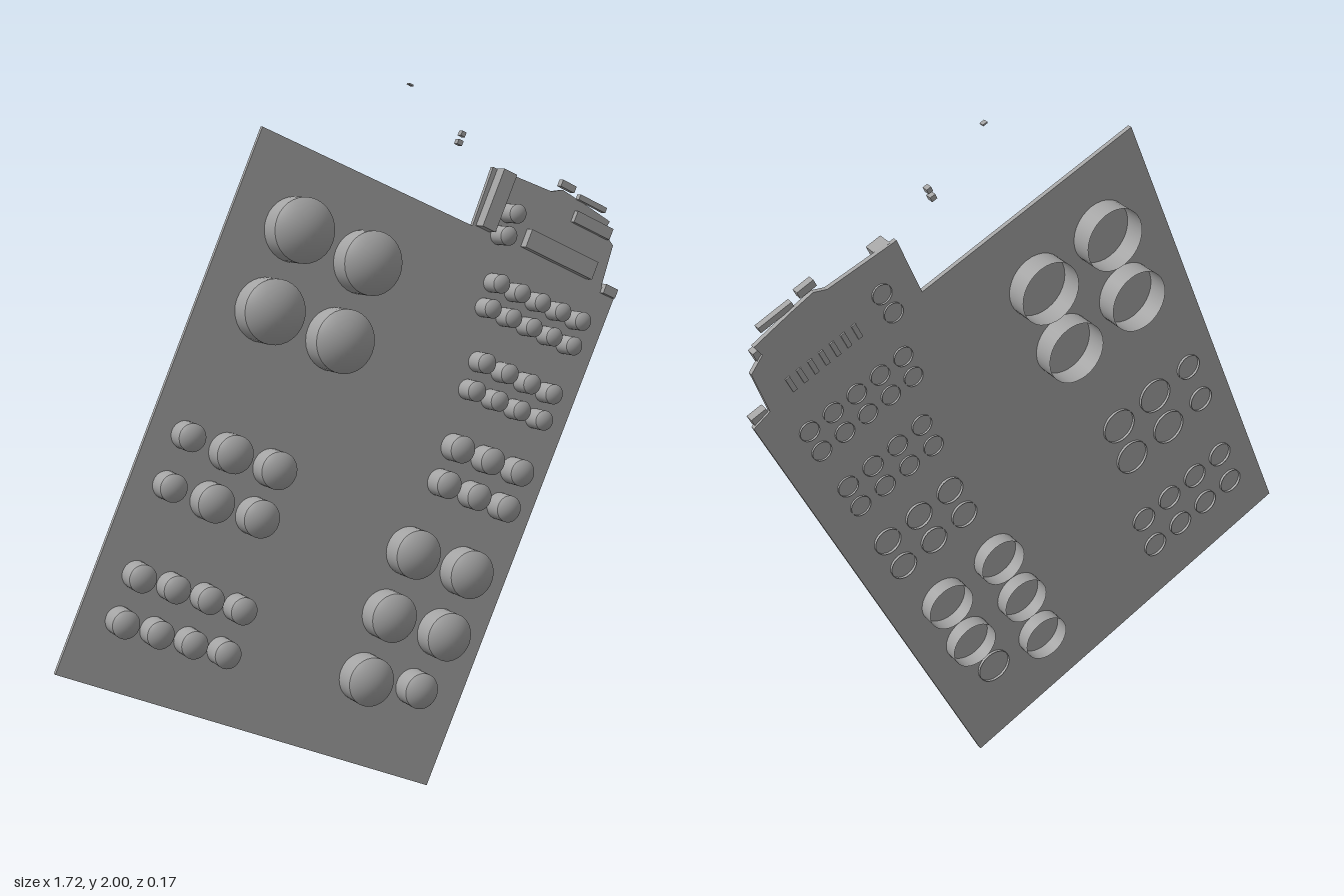
import * as THREE from 'three';

const TILT = -0.41; // the whole panel leans clockwise

export function createModel() {
  const model = new THREE.Group();
  const grey = new THREE.MeshStandardMaterial({ color: 0xa3a3a3, side: THREE.DoubleSide });
  grey.name = 'plainGrey';

  const add = (parent, name, geometry) => {
    const mesh = new THREE.Mesh(geometry, grey);
    mesh.name = name;
    parent.add(mesh);
    return mesh;
  };

  // Thin board with a small circuit tab at the upper corner
  const outline = [
    [-0.866, 0.48], [0.237, 0.004], [0.857, 1.4], [0.81, 1.432], [0.848, 1.55],
    [0.815, 1.592], [0.835, 1.62], [0.73, 1.68], [0.67, 1.712], [0.632, 1.708],
    [0.437, 1.777], [0.372, 1.615], [-0.267, 1.882],
  ].map(([x, y]) => new THREE.Vector2(x, y));
  add(model, 'board', new THREE.ExtrudeGeometry(new THREE.Shape(outline),
    { depth: 0.013, bevelEnabled: false })).position.z = -0.026;

  // Domed button in front of the board with an open tube behind it
  function button(name, x, y, r, back) {
    const group = new THREE.Group();
    group.name = name;
    const front = 0.037 + 0.57 * r;
    const rise = 0.37 * r;
    const shoulder = front - rise;
    const R = (r * r + rise * rise) / (2 * rise);
    const tube = new THREE.CylinderGeometry(r, r, shoulder - back, 32, 1, true);
    tube.rotateX(Math.PI / 2).translate(0, 0, (shoulder + back) / 2);
    add(group, 'tube', tube);
    const dome = new THREE.SphereGeometry(R, 32, 6, 0, Math.PI * 2, 0, Math.asin(r / R));
    dome.rotateX(Math.PI / 2).translate(0, 0, front - R);
    add(group, 'dome', dome);
    group.position.set(x, y, 0);
    model.add(group);
  }

  // Rows of evenly spaced buttons: first x, y, last x, y, count, radius, back depth
  const rows = [
    ['largeButton', -0.177, 1.613, 0.026, 1.522, 2, 0.0875, -0.087],
    ['largeButton', -0.264, 1.402, -0.058, 1.315, 2, 0.0875, -0.087],
    ['mediumButton', 0.172, 0.706, 0.346, 0.631, 2, 0.07, -0.068],
    ['mediumButton', 0.096, 0.533, 0.273, 0.457, 2, 0.07, -0.068],
    ['mediumButton', 0.024, 0.358, 0.024, 0.358, 1, 0.07, -0.068],
    ['roundButton', 0.186, 0.309, 0.186, 0.309, 1, 0.052, -0.034],
    ['roundButton', -0.379, 1.03, -0.252, 0.977, 2, 0.052, -0.034],
    ['roundButton', -0.434, 0.903, -0.304, 0.85, 2, 0.052, -0.034],
    ['smallButton', -0.498, 1.083, -0.498, 1.083, 1, 0.038, -0.034],
    ['smallButton', -0.552, 0.954, -0.552, 0.954, 1, 0.038, -0.034],
    ['smallButton', -0.641, 0.722, -0.357, 0.603, 4, 0.038, -0.034],
    ['smallButton', -0.69, 0.605, -0.405, 0.488, 4, 0.038, -0.034],
    ['smallButton', 0.315, 0.993, 0.513, 0.911, 3, 0.039, -0.034],
    ['smallButton', 0.272, 0.895, 0.469, 0.81, 3, 0.039, -0.034],
    ['tinyButton', 0.392, 1.232, 0.617, 1.132, 4, 0.029, -0.032],
    ['tinyButton', 0.36, 1.155, 0.585, 1.058, 4, 0.029, -0.032],
    ['tinyButton', 0.437, 1.454, 0.712, 1.338, 5, 0.027, -0.032],
    ['tinyButton', 0.41, 1.385, 0.683, 1.268, 5, 0.027, -0.032],
    ['tabButton', 0.487, 1.648, 0.458, 1.587, 2, 0.027, -0.032],
  ];
  for (const [name, x0, y0, x1, y1, count, r, back] of rows) {
    for (let i = 0; i < count; i++) {
      const t = count > 1 ? i / (count - 1) : 0;
      button(name, x0 + (x1 - x0) * t, y0 + (y1 - y0) * t, r, back);
    }
  }

  // Boxes lined up with the leaning panel
  function box(name, x, y, z0, z1, w, h) {
    const mesh = add(model, name, new THREE.BoxGeometry(w, h, z1 - z0));
    mesh.position.set(x, y, (z0 + z1) / 2);
    mesh.rotation.z = TILT;
  }
  box('sideConnector', 0.438, 1.685, -0.02, 0.025, 0.045, 0.172);
  box('chip', 0.655, 1.529, -0.02, 0.015, 0.247, 0.054);
  box('port', 0.768, 1.61, -0.02, 0.004, 0.135, 0.034);
  box('portLip', 0.765, 1.672, -0.016, 0.002, 0.1, 0.016);
  box('topLatch', 0.682, 1.722, -0.02, 0, 0.05, 0.02);
  box('edgeSwitch', 0.832, 1.418, -0.02, 0.004, 0.045, 0.028);

  // Chip pins showing behind the board
  const along = new THREE.Vector2(Math.cos(TILT), Math.sin(TILT));
  for (let i = -3; i <= 3; i++) {
    box('pin', 0.655 + along.x * i * 0.034, 1.529 + along.y * i * 0.034, -0.03, -0.02, 0.013, 0.045);
  }

  // Loose pieces floating above the board
  box('looseBlock', 0.315, 1.844, -0.004, 0.014, 0.016, 0.014);
  box('looseBlock', 0.325, 1.867, -0.004, 0.014, 0.014, 0.014);
  box('looseChip', 0.164, 1.997, -0.006, 0.008, 0.014, 0.004);

  return model;
}
